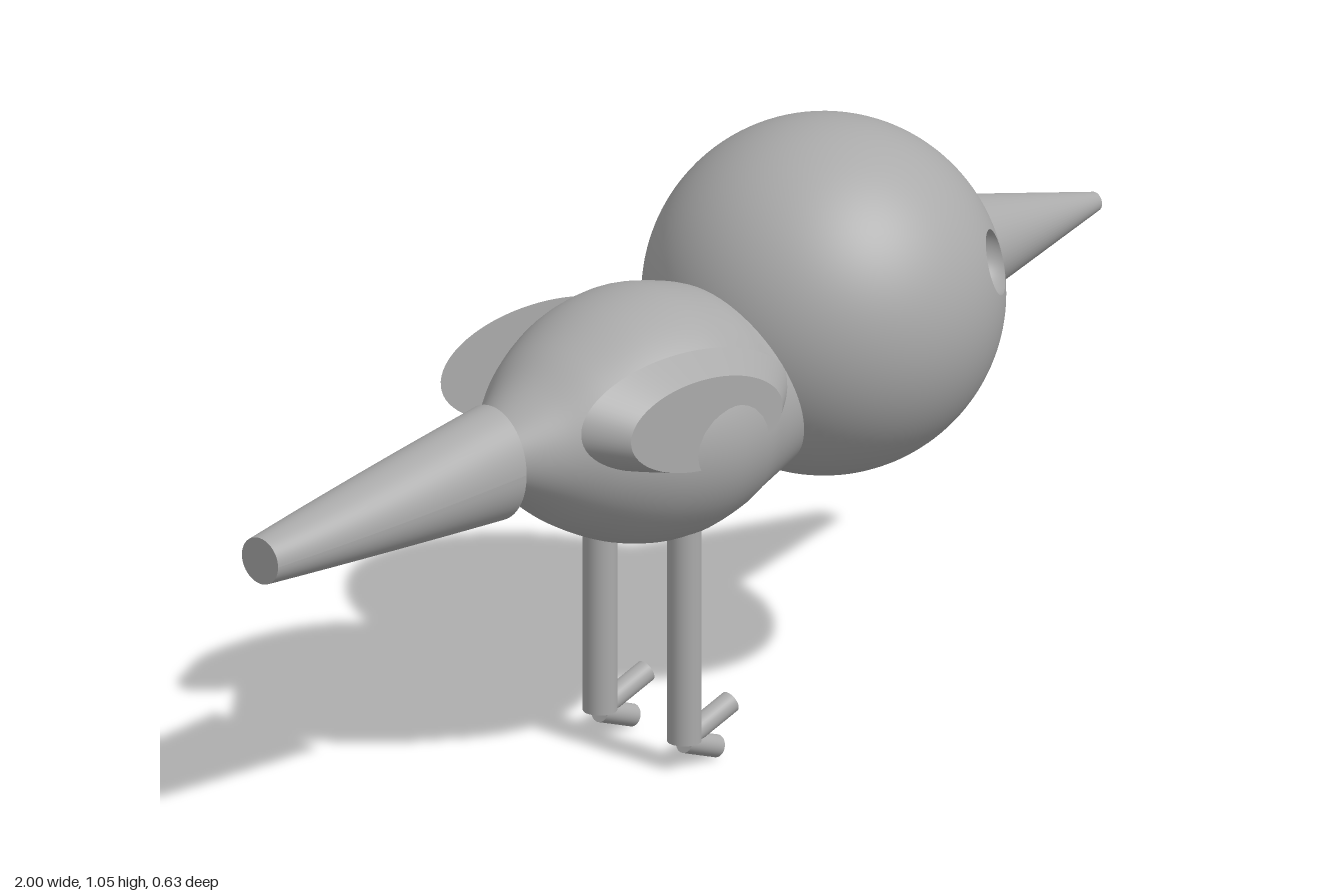
import * as THREE from 'three';

const HEAD = new THREE.Vector3(0.35, 0.735, 0);
const HEAD_R = 0.315;
const EYE_R = 0.058;

// Grid surface from a rule (row, angle) -> { p, n }
function surface(rows, cols, rule) {
  const pos = [], nor = [], idx = [];
  for (let i = 0; i <= rows; i++) {
    for (let j = 0; j <= cols; j++) {
      const { p, n } = rule(i / rows, (j / cols) * Math.PI * 2);
      pos.push(p.x, p.y, p.z);
      nor.push(n.x, n.y, n.z);
      if (i < rows && j < cols) {
        const a = i * (cols + 1) + j, b = a + cols + 1;
        idx.push(a, b, b + 1, a, b + 1, a + 1);
      }
    }
  }
  const g = new THREE.BufferGeometry();
  g.setAttribute('position', new THREE.Float32BufferAttribute(pos, 3));
  g.setAttribute('normal', new THREE.Float32BufferAttribute(nor, 3));
  g.setIndex(idx);
  return g;
}

// Copy of a geometry reflected across z = 0
function mirrorZ(geometry) {
  const g = geometry.clone().scale(1, 1, -1);
  g.setIndex(Array.from(geometry.index.array).reverse());
  return g;
}

// Half of the head, swept from the rim of the eye hollow to the middle plane
function headGeometries() {
  const e = new THREE.Vector3(0.18, 0.075, 0.24).normalize();
  const u = new THREE.Vector3(0, 1, 0).cross(e).normalize();
  const v = e.clone().cross(u);
  const rim = Math.asin(EYE_R / HEAD_R);
  const centre = e.clone().multiplyScalar(HEAD_R * Math.cos(rim));
  const around = (a) => u.clone().multiplyScalar(Math.cos(a)).addScaledVector(v, Math.sin(a));

  const half = surface(40, 96, (s, a) => {
    const t = around(a);
    const end = Math.atan2(e.z, -t.z);
    const th = rim + (end - rim) * s;
    const n = e.clone().multiplyScalar(Math.cos(th)).addScaledVector(t, Math.sin(th));
    return { p: n.clone().multiplyScalar(HEAD_R).add(HEAD), n };
  });
  const hollow = surface(12, 96, (s, a) => {
    const th = s * Math.PI / 2;
    const n = e.clone().multiplyScalar(Math.cos(th)).addScaledVector(around(a), -Math.sin(th));
    return { p: centre.clone().addScaledVector(n, -EYE_R).add(HEAD), n };
  });
  return { half, hollow };
}

// Bevelled elliptical wing plate: wide inner face, smaller outer face
function wingGeometry() {
  const g = new THREE.CylinderGeometry(1, 1, 1, 72).rotateX(Math.PI / 2);
  const p = g.attributes.position;
  for (let i = 0; i < p.count; i++) {
    const outer = p.getZ(i) > 0;
    p.setXYZ(i,
      p.getX(i) * (outer ? 0.182 : 0.25),
      p.getY(i) * (outer ? 0.083 : 0.105) - (outer ? 0.012 : 0),
      outer ? 0.23 : 0.175);
  }
  g.rotateZ(-0.09).translate(-0.15, 0.698, 0);
  g.computeVertexNormals();
  return g;
}

// Tapered rod between two points
function rod(a, b, ra, rb, sides = 32) {
  const d = b.clone().sub(a);
  const g = new THREE.CylinderGeometry(rb, ra, d.length(), sides);
  g.applyQuaternion(new THREE.Quaternion().setFromUnitVectors(new THREE.Vector3(0, 1, 0), d.clone().normalize()));
  return g.translate((a.x + b.x) / 2, (a.y + b.y) / 2, (a.z + b.z) / 2);
}

export function createModel() {
  const bird = new THREE.Group();
  bird.name = 'bird';
  const grey = new THREE.MeshStandardMaterial({ color: 0xaaaaaa });
  grey.name = 'grey';

  const add = (name, geometry) => {
    const mesh = new THREE.Mesh(geometry, grey);
    mesh.name = name;
    bird.add(mesh);
    return mesh;
  };
  const addPair = (name, geometry) => {
    add(name + 'Left', geometry);
    add(name + 'Right', mirrorZ(geometry));
  };
  const at = (x, y, z = 0) => new THREE.Vector3(x, y, z);

  // Body: round belly tapering to the tail and the neck
  const outline = new THREE.SplineCurve([
    [0.058, -0.36], [0.108, -0.285], [0.163, -0.205], [0.208, -0.105], [0.225, 0],
    [0.211, 0.09], [0.19, 0.15], [0.165, 0.225], [0.14, 0.3],
  ].map(([r, x]) => new THREE.Vector2(r, x))).getPoints(48);
  outline.unshift(new THREE.Vector2(0, -0.36));
  const body = new THREE.LatheGeometry(outline, 72)
    .rotateZ(-Math.PI / 2).scale(1, 1, 1.08).rotateZ(-0.03).translate(-0.085, 0.63, 0);
  add('body', body);

  // Head with hollow eyes
  const { half, hollow } = headGeometries();
  addPair('head', half);
  addPair('eyeHollow', hollow);

  // Beak
  add('beak', rod(at(0.645, 0.735), at(1, 0.735), 0.102, 0.017, 64));

  // Tail: upright ends, sloping gently downward to the rear
  const tail = new THREE.CylinderGeometry(1, 1, 0.555, 64, 8).rotateZ(-Math.PI / 2);
  const p = tail.attributes.position;
  for (let i = 0; i < p.count; i++) {
    const t = p.getX(i) / 0.555 + 0.5;
    p.setXYZ(i, -1 + 0.555 * t,
      0.593 + 0.037 * t + p.getY(i) * (0.042 + 0.062 * t),
      p.getZ(i) * (0.045 + 0.042 * t + 0.03 * t * (1 - t)));
  }
  tail.computeVertexNormals();
  add('tail', tail);

  // Wings
  addPair('wing', wingGeometry());

  // Legs, each with one raised and one lowered toe
  const z = 0.105;
  addPair('leg', rod(at(-0.085, 0.052, z), at(-0.085, 0.47, z), 0.03, 0.03));
  addPair('upperToe', rod(at(-0.065, 0.062, z), at(0.025, 0.095, z), 0.02, 0.02));
  addPair('lowerToe', rod(at(-0.085, 0.05, z), at(-0.008, 0.022, z), 0.02, 0.02));

  return bird;
}
